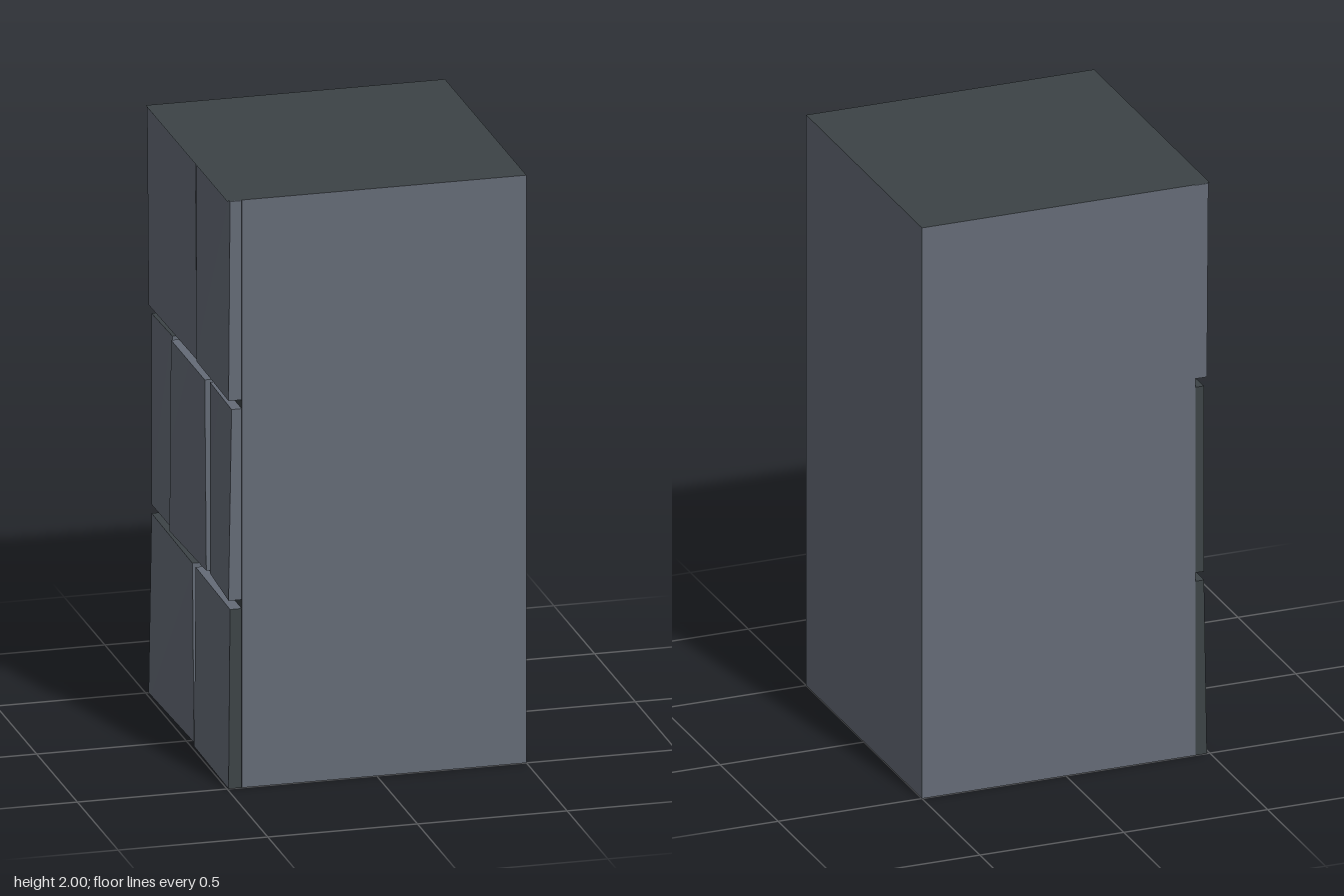
import * as THREE from 'three';

const stone = new THREE.MeshStandardMaterial({ name: 'blue grey stone', color: 0x646b76, side: THREE.DoubleSide });
const dark = new THREE.MeshStandardMaterial({ name: 'dark grey mortar', color: 0x3c4346, side: THREE.DoubleSide });

const FACE = -0.45; // wall plane behind the slabs

function panel(name, w, h, material, position, rx, ry) {
  const mesh = new THREE.Mesh(new THREE.PlaneGeometry(w, h), material);
  mesh.name = name;
  mesh.position.set(...position);
  mesh.rotation.set(rx, ry, 0);
  return mesh;
}

// Slab with a slightly uneven outer face; depths are [top, bottom] at its back and front ends
function slab({ y, z, back, front, darkBack, darkFront, darkTop }) {
  const inner = FACE - 0.001;
  const g = new THREE.BoxGeometry(1, 1, 1);
  const p = g.attributes.position;
  for (let i = 0; i < p.count; i++) {
    const depths = p.getZ(i) < 0 ? back : front;
    const outer = FACE - (p.getY(i) > 0 ? depths[0] : depths[1]);
    p.setXYZ(i,
      p.getX(i) > 0 ? inner : outer,
      p.getY(i) > 0 ? y[1] : y[0],
      p.getZ(i) > 0 ? z[1] : z[0]);
  }
  g.computeVertexNormals();
  const mesh = new THREE.Mesh(g, [
    dark, stone, darkTop ? dark : stone, stone,
    darkFront ? dark : stone, darkBack ? dark : stone,
  ]);
  mesh.name = 'wallSlab';
  return mesh;
}

export function createModel() {
  const model = new THREE.Group();
  model.name = 'pillar';
  const midX = (FACE + 0.5) / 2, width = 0.5 - FACE;

  // Hollow body, open underneath
  model.add(
    panel('frontWall', width, 2, stone, [midX, 1, 0.5], 0, 0),
    panel('backWall', width, 2, stone, [midX, 1, -0.5], 0, Math.PI),
    panel('leftWall', 1, 2, stone, [0.5, 1, 0], 0, Math.PI / 2),
    panel('mortarWall', 1, 2, dark, [FACE, 1, 0], 0, -Math.PI / 2),
    panel('topCap', 1, 1, dark, [0, 2, 0], -Math.PI / 2, 0),
  );

  // Three staggered courses of slabs
  const low = [0, 0.61], mid = [0.64, 1.29], high = [1.32, 1.998];
  const slabs = new THREE.Group();
  slabs.name = 'slabs';
  [
    { y: low, z: [-0.5, 0.02], back: [0.03, 0.04], front: [0.035, 0.03], darkBack: true, darkTop: true },
    { y: low, z: [0.06, 0.5], back: [0.035, 0.04], front: [0.04, 0.045], darkBack: true, darkFront: true },
    { y: mid, z: [-0.5, -0.26], back: [0.03, 0.03], front: [0.025, 0.03], darkBack: true, darkTop: true },
    { y: mid, z: [-0.225, 0.19], back: [0.04, 0.045], front: [0.04, 0.035] },
    { y: mid, z: [0.215, 0.5], back: [0.03, 0.03], front: [0.035, 0.045], darkBack: true },
    { y: high, z: [-0.5, 0.075], back: [0.045, 0.04], front: [0.04, 0.035] },
    { y: high, z: [0.09, 0.5], back: [0.04, 0.04], front: [0.04, 0.045] },
  ].forEach((s) => slabs.add(slab(s)));
  model.add(slabs);
  return model;
}
